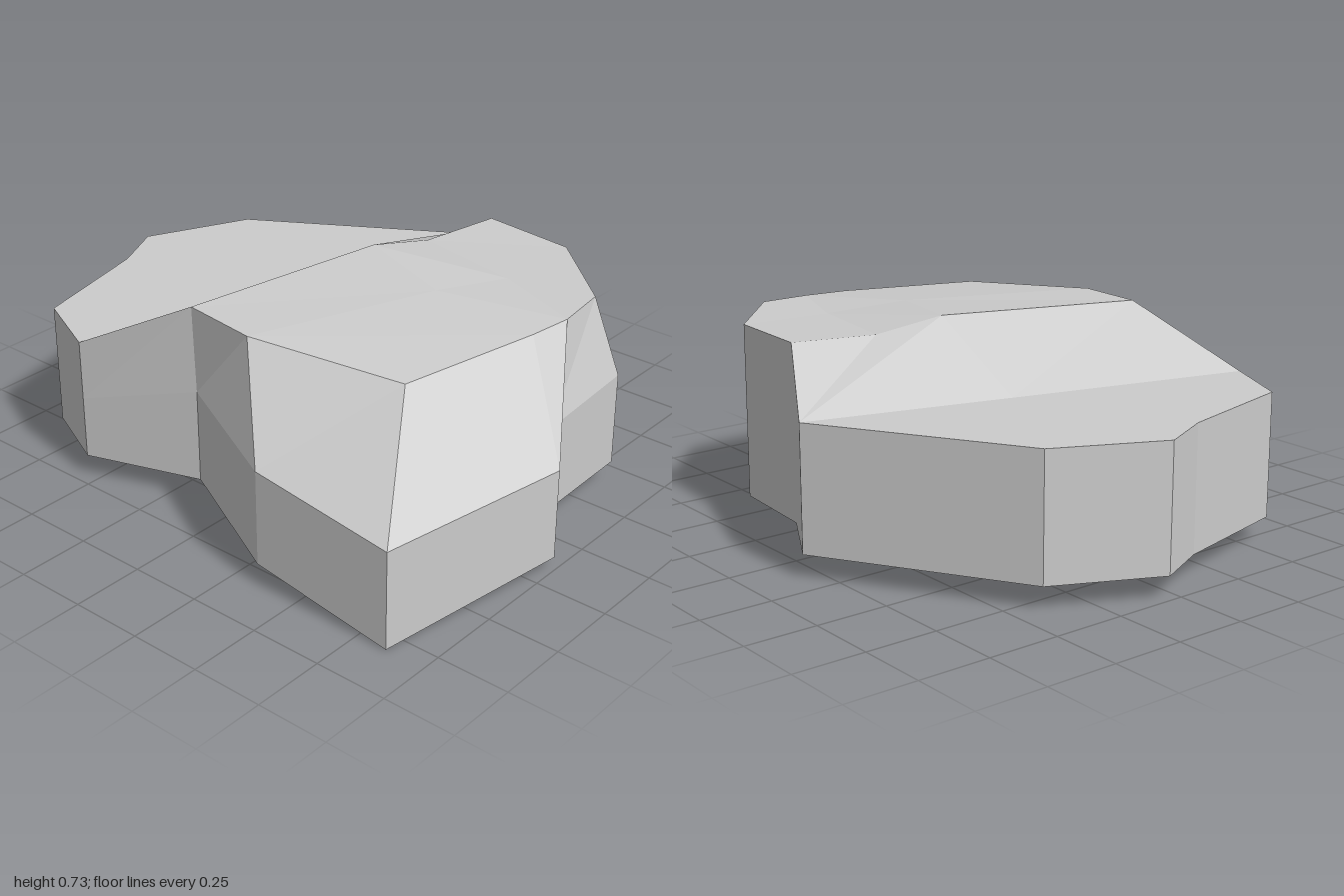
import * as THREE from 'three';

// Rock outline, clockwise seen from above: x, z, base height, shoulder height, then rim point [x, y, z]
const outline = [
  [-0.15, -0.82, 0.08, 0.30, [-0.15, 0.51, -0.82]], // 0 back tip
  [0.12, -0.67, 0.08, 0.41, [0.12, 0.69, -0.67]],   // 1
  [0.46, -0.64, 0.08, 0.41, [0.46, 0.685, -0.64]],  // 2
  [0.84, -0.41, 0.08, 0.41, [0.75, 0.68, -0.38]],   // 3
  [0.84, -0.03, 0.065, 0.375, [0.77, 0.675, -0.19]], // 4
  [1.00, 0.16, 0.05, 0.365, [0.75, 0.675, -0.03]],  // 5
  [0.86, 0.82, 0.00, 0.34, [0.64, 0.665, 0.47]],    // 6 front corner
  [0.35, 0.82, 0.08, 0.41, [0.12, 0.705, 0.60]],    // 7
  [-0.135, 0.575, 0.08, 0.41, [-0.15, 0.71, 0.57]], // 8 front notch
  [-0.54, 0.71, 0.08, 0.30, [-0.54, 0.51, 0.71]],   // 9
  [-0.80, 0.59, 0.08, 0.30, [-0.80, 0.51, 0.59]],   // 10
  [-0.91, 0.14, 0.08, 0.30, [-0.91, 0.51, 0.14]],   // 11
  [-1.00, -0.05, 0.08, 0.30, [-1.00, 0.51, -0.05]], // 12
  [-0.83, -0.41, 0.08, 0.30, [-0.83, 0.51, -0.41]], // 13
];

function meshFrom(name, positions, material) {
  const geometry = new THREE.BufferGeometry();
  geometry.setAttribute('position', new THREE.Float32BufferAttribute(positions, 3));
  geometry.computeVertexNormals();
  const mesh = new THREE.Mesh(geometry, material);
  mesh.name = name;
  return mesh;
}

// Adds a triangle turned to face up (dir 1) or down (dir -1)
function addFacing(out, a, b, c, dir) {
  const ny = (b[2] - a[2]) * (c[0] - a[0]) - (b[0] - a[0]) * (c[2] - a[2]);
  if (ny * dir > 0) out.push(...a, ...b, ...c);
  else out.push(...a, ...c, ...b);
}

export function createModel() {
  const rock = new THREE.Group();
  rock.name = 'rock';
  const material = new THREE.MeshStandardMaterial({ color: 0xcccccc, flatShading: true });

  const base = outline.map(([x, z, y]) => [x, y, z]);
  const shoulder = outline.map(([x, z, , y]) => [x, y, z]);
  const rim = outline.map((p) => p[4]);

  // Sides: two bands, base to shoulder and shoulder to rim
  const sides = [];
  for (const [low, high] of [[base, shoulder], [shoulder, rim]]) {
    low.forEach((p, i) => {
      const j = (i + 1) % low.length;
      sides.push(...low[j], ...p, ...high[i], ...low[j], ...high[i], ...high[j]);
    });
  }
  rock.add(meshFrom('sides', sides, material));

  // Top of the raised half: a grid of strips from front to back
  const ridge = [0.005, 0.728, -0.15];
  const ridgeBack = [0.06, 0.685, -0.38];
  const rows = [
    [rim[8], rim[7], rim[6]],
    [ridge, [0.36, 0.705, -0.04], rim[5]],
    [ridgeBack, [0.45, 0.68, -0.31], rim[4]],
    [rim[1], rim[2], rim[3]],
  ];
  const raised = [];
  for (let r = 0; r < 3; r++) {
    for (let c = 0; c < 2; c++) {
      const [p, q, s, t] = [rows[r][c], rows[r][c + 1], rows[r + 1][c + 1], rows[r + 1][c]];
      addFacing(raised, p, q, s, 1);
      addFacing(raised, p, s, t, 1);
    }
  }
  rock.add(meshFrom('raisedTop', raised, material));

  // Slope from the ridge down to the ledge
  const foot = [-0.33, 0.51, -0.12];
  const slope = [];
  const slopeFaces = [
    [rim[0], rim[1], ridgeBack], [rim[0], ridgeBack, ridge], [rim[0], ridge, foot],
    [foot, ridge, rim[8]], [foot, rim[8], rim[9]],
  ];
  for (const [a, b, c] of slopeFaces) addFacing(slope, a, b, c, 1);
  rock.add(meshFrom('slope', slope, material));

  // Flat ledge, fanned from the foot of the slope
  const ledge = [];
  for (let i = 9; i < 14; i++) addFacing(ledge, foot, rim[i], rim[(i + 1) % 14], 1);
  rock.add(meshFrom('ledge', ledge, material));

  // Underside
  const under = [];
  const flat = base.map(([x, , z]) => new THREE.Vector2(x, z));
  for (const [a, b, c] of THREE.ShapeUtils.triangulateShape(flat, [])) {
    addFacing(under, base[a], base[b], base[c], -1);
  }
  rock.add(meshFrom('underside', under, material));

  return rock;
}
